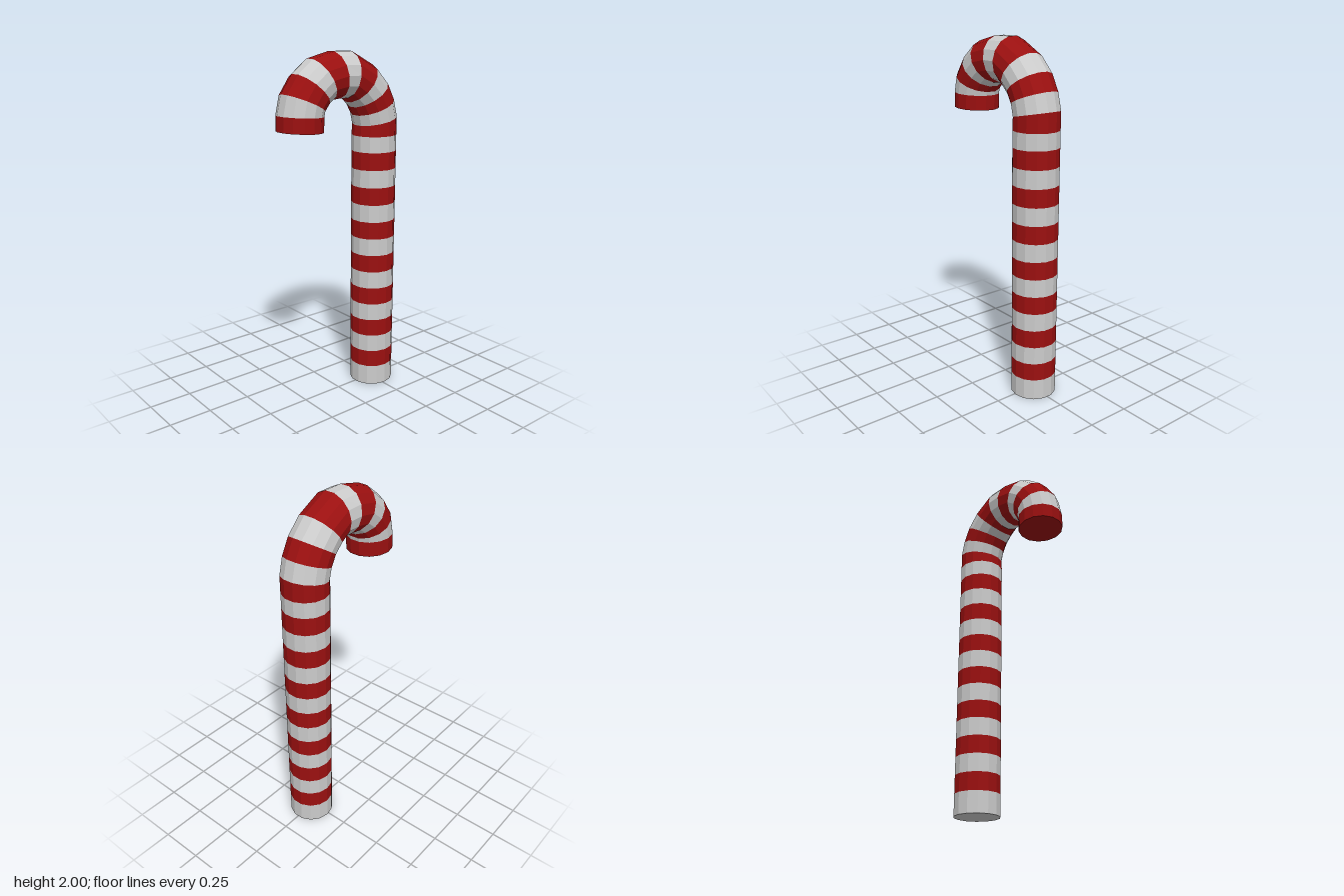
import * as THREE from 'three';

const SIDES = 14, RADIUS = 0.129;
const FLAT = RADIUS * Math.cos(Math.PI / SIDES); // centre to flat side

// A ring is a polygon whose outer side sits at (x, y), tilted by an angle in degrees
function ringPoints([x, y, degrees]) {
  const a = THREE.MathUtils.degToRad(degrees);
  const dx = Math.cos(a), dy = Math.sin(a);
  const cx = x - FLAT * dx, cy = y - FLAT * dy;
  const points = [];
  for (let i = 0; i < SIDES; i++) {
    const t = ((i + 0.5) / SIDES) * Math.PI * 2;
    const r = RADIUS * Math.cos(t);
    points.push([cx + r * dx, cy + r * dy, RADIUS * Math.sin(t)]);
  }
  return points;
}

// One stripe between two rings, with optional end caps
function stripeGeometry(lower, upper, capLower, capUpper) {
  const a = ringPoints(lower), b = ringPoints(upper), positions = [];
  const tri = (p, q, r) => positions.push(...p, ...q, ...r);
  for (let i = 0; i < SIDES; i++) {
    const j = (i + 1) % SIDES;
    tri(a[i], b[i], a[j]);
    tri(b[i], b[j], a[j]);
    if (capLower && i > 0 && j > 0) tri(a[0], a[i], a[j]);
    if (capUpper && i > 0 && j > 0) tri(b[0], b[j], b[i]);
  }
  const geometry = new THREE.BufferGeometry();
  geometry.setAttribute('position', new THREE.Float32BufferAttribute(positions, 3));
  geometry.computeVertexNormals();
  return geometry;
}

export function createModel() {
  const white = new THREE.MeshStandardMaterial({ color: 0xcccccc, flatShading: true });
  const red = new THREE.MeshStandardMaterial({ color: 0x9b1010, flatShading: true });

  // Straight shaft: evenly spaced level rings
  const rings = [[0.388, 0, 0]];
  for (let i = 0; i < 14; i++) rings.push([0.388, 0.12 + i * 0.1015, 0]);
  rings.push([0.388, 1.53, 0]);
  const shaftStripes = rings.length - 1;

  // Hook: outer x, outer y, tilt
  rings.push(
    [0.388, 1.637, 11], [0.362, 1.737, 21], [0.311, 1.832, 33], [0.224, 1.921, 51],
    [0.067, 2.0, 84], [-0.049, 2.0, 99], [-0.194, 1.965, 120], [-0.291, 1.89, 138],
    [-0.362, 1.79, 156], [-0.388, 1.68, 177], [-0.39, 1.597, 177]
  );

  const model = new THREE.Group();
  model.name = 'candyCane';
  const shaft = new THREE.Group(), hook = new THREE.Group();
  shaft.name = 'shaft';
  hook.name = 'hook';
  model.add(shaft, hook);

  // Alternating stripes along the whole cane
  const last = rings.length - 2;
  for (let i = 0; i <= last; i++) {
    const geometry = stripeGeometry(rings[i], rings[i + 1], i === 0, i === last);
    const stripe = new THREE.Mesh(geometry, i % 2 ? red : white);
    stripe.name = i % 2 ? 'redStripe' : 'whiteStripe';
    (i < shaftStripes ? shaft : hook).add(stripe);
  }
  return model;
}
